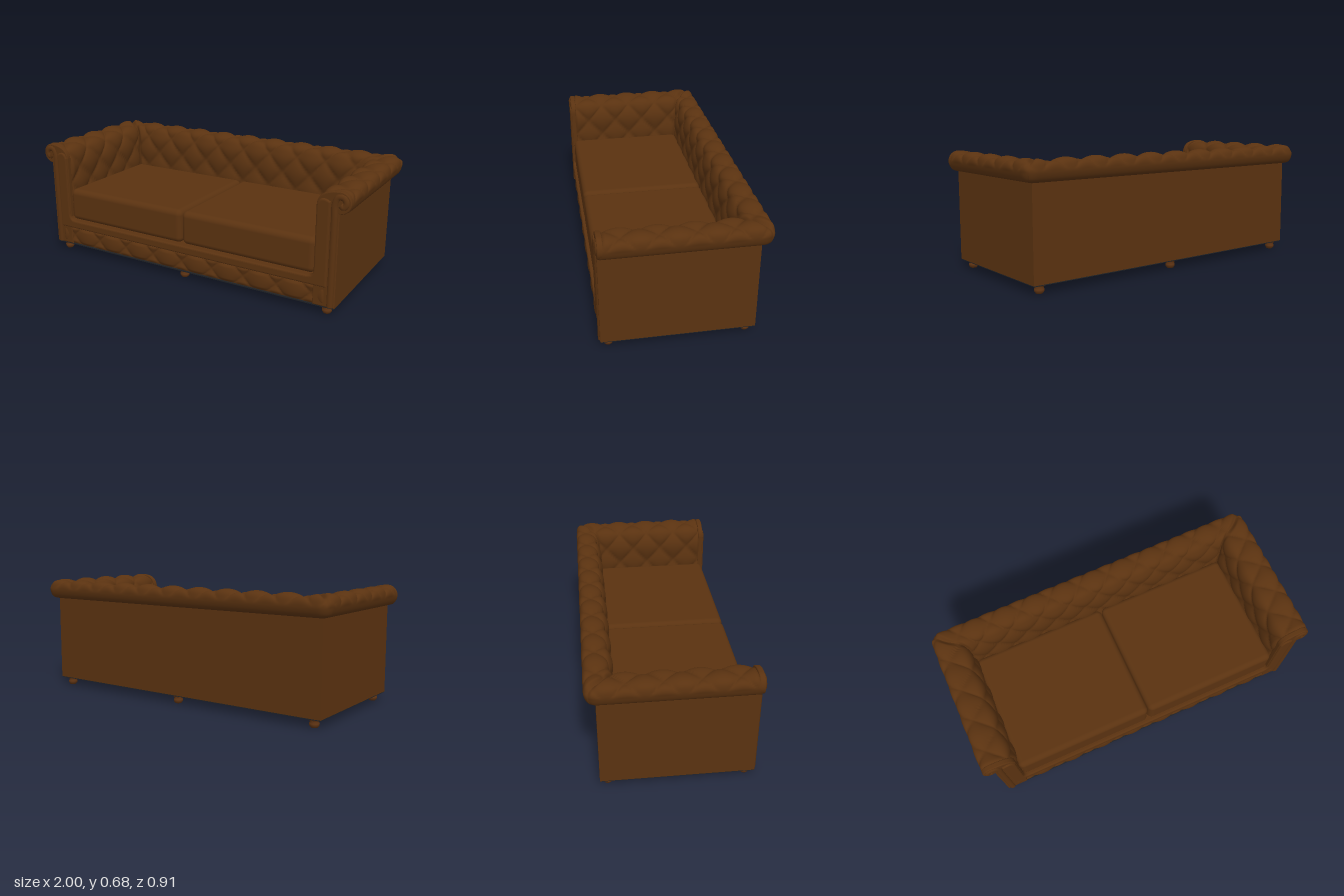
import * as THREE from 'three';
import { RoundedBoxGeometry } from 'three/addons/geometries/RoundedBoxGeometry.js';

const leather = new THREE.MeshStandardMaterial({ color: 0x5a3210 });
leather.name = 'brown leather';
const lining = new THREE.MeshStandardMaterial({ color: 0x202226 });
lining.name = 'dark lining';
const wood = new THREE.MeshStandardMaterial({ color: 0x5f3413 });
wood.name = 'brown wood';

const smooth = THREE.MathUtils.smoothstep;
const ARM = { c: 0.935, D: 0.115 };  // roll centre, distance from roll centre to inner wall
const BACK = { c: 0.382, D: 0.08 };
const FRONT = 0.415;

function add(parent, name, geometry, material = leather) {
  const mesh = new THREE.Mesh(geometry, material);
  mesh.name = name;
  parent.add(mesh);
  return mesh;
}

function box(parent, name, x0, x1, y0, y1, z0, z1, material) {
  const mesh = add(parent, name, new THREE.BoxGeometry(x1 - x0, y1 - y0, z1 - z0), material);
  mesh.position.set((x0 + x1) / 2, (y0 + y1) / 2, (z0 + z1) / 2);
  return mesh;
}

// Grid surface: fn(u, v) gives each point
function surface(nu, nv, fn) {
  const g = new THREE.PlaneGeometry(1, 1, nu, nv);
  const p = g.attributes.position, uv = g.attributes.uv;
  for (let i = 0; i < p.count; i++) p.setXYZ(i, ...fn(uv.getX(i), uv.getY(i)));
  g.computeVertexNormals();
  return g;
}

// Diamond-buttoned padding height, 0 at buttons and 1 at puff centres
function tuft(s, t, a, b) {
  return Math.sqrt(Math.abs(Math.sin(Math.PI * (s / a + t / b)) * Math.sin(Math.PI * (s / a - t / b))));
}

// Inner wall running up and over the scroll: x is offset from roll centre
const ROWS = 80;
function rollProfile(D) {
  const pts = [[-D, 0.2], [-D, 0.29], [-D, 0.38], [-D, 0.47], [-D, 0.56], [-D + 0.01, 0.61],
    [-D * 0.7, 0.643], [-0.02, 0.655], [0.025, 0.654], [0.05, 0.637], [0.057, 0.612],
    [0.04, 0.573], [0, 0.56], [-0.02, 0.562]].map(([x, y]) => new THREE.Vector3(x, y, 0));
  const curve = new THREE.CatmullRomCurve3(pts, false, 'catmullrom', 0.5);
  let t = 0, last = pts[0];
  return curve.getPoints(ROWS).map((p, i) => {
    t += p.distanceTo(last);
    last = p;
    const n = curve.getTangent(i / ROWS);
    return { d: p.x, y: p.y, t, nd: -n.y, ny: n.x };
  });
}
const armProfile = rollProfile(ARM.D), backProfile = rollProfile(BACK.D);

// Padded panel in (s along, o outward), mapped to one side of the sofa
function paddedSide(spec, profile, start, end, phase, columns, place) {
  return surface(columns, ROWS, (u, v) => {
    const i = Math.round(v * ROWS), p = profile[i];
    const s0 = start(i), s1 = end(i), s = s0 + (s1 - s0) * u;
    const t = p.t - (0.42 + spec.D);
    const ends = smooth(s - s0, 0, 0.03) * smooth(s1 - s, 0, 0.03);
    const h = 0.023 * tuft(s - phase, t, 0.185, 0.2) * ends * (1 - smooth(t, 0.035, 0.085));
    const [x, y, z] = place(s, spec.c + p.d + p.nd * h, p.y + p.ny * h);
    // round the outer back corners in plan
    const cx = Math.abs(x) - 0.932, cz = -z - 0.377;
    if (cx <= 0 || cz <= 0) return [x, y, z];
    const k = Math.max(cx, cz) / Math.hypot(cx, cz);
    return [Math.sign(x) * (0.932 + cx * k), y, -(0.377 + cz * k)];
  });
}

function extrude(shape, depth, bevel) {
  return new THREE.ExtrudeGeometry(shape, {
    depth, bevelEnabled: true, bevelSize: bevel, bevelThickness: bevel,
    bevelOffset: -bevel, bevelSegments: 3, curveSegments: 16,
  });
}

export function createModel() {
  const model = new THREE.Group();
  model.name = 'sofa';
  const sofa = new THREE.Group();
  sofa.name = 'tuftedSofa';
  sofa.rotation.y = -0.018;
  model.add(sofa);

  // Frame
  box(sofa, 'base', -0.93, 0.93, 0.052, 0.208, -0.38, FRONT);
  box(sofa, 'underside', -0.933, 0.933, 0.046, 0.053, -0.38, 0.425, lining);
  box(sofa, 'backWall', -0.935, 0.935, 0.051, 0.59, -0.382, -0.32);
  for (const [name, m] of [['left', 1], ['right', -1]]) {
    box(sofa, name + 'ArmWall', m > 0 ? 0.85 : -0.935, m > 0 ? 0.935 : -0.85, 0.051, 0.59, -0.381, 0.425);
  }

  // Buttoned back and arms, mitred where they meet
  const armEdge = i => ARM.c + armProfile[i].d, backEdge = i => BACK.c + backProfile[i].d;
  add(sofa, 'tuftedBack', paddedSide(BACK, backProfile, i => -armEdge(i), armEdge, 0.0925, 220,
    (s, o, y) => [s, y, -o]));
  add(sofa, 'tuftedLeftArm', paddedSide(ARM, armProfile, i => -backEdge(i), () => FRONT, 0.314, 100,
    (s, o, y) => [o, y, s]));
  add(sofa, 'tuftedRightArm', paddedSide(ARM, armProfile, () => -FRONT, backEdge, -0.314, 100,
    (s, o, y) => [-o, y, -s]));

  // Scrolled arm fronts with raised edging
  for (const [name, m] of [['left', 1], ['right', -1]]) {
    const s = new THREE.Shape();
    s.moveTo(m * 0.935, 0.051);
    s.lineTo(m * 0.935, 0.56);
    s.absarc(m * 0.935, 0.619, 0.058, -Math.PI / 2, Math.PI / 2, m < 0);
    s.quadraticCurveTo(m * 0.82, 0.675, m * 0.812, 0.6);
    s.lineTo(m * 0.812, 0.051);
    add(sofa, name + 'ArmFront', extrude(s, 0.018, 0.006)).position.z = 0.404;

    const path = new THREE.CatmullRomCurve3([[0.908, 0.055], [0.908, 0.3], [0.908, 0.54], [0.908, 0.61],
      [0.925, 0.647], [0.953, 0.647], [0.967, 0.621], [0.952, 0.598], [0.938, 0.61]]
      .map(([x, y]) => new THREE.Vector3(m * x, y, 0)));
    const edging = add(sofa, name + 'ScrollEdging', new THREE.TubeGeometry(path, 90, 0.017, 10));
    edging.scale.z = 0.75;
    edging.position.z = 0.424;
  }

  // Border band running down the arms and under the cushions
  const band = new THREE.Shape();
  band.moveTo(-0.888, 0.16);
  band.lineTo(0.888, 0.16);
  band.lineTo(0.888, 0.62);
  band.quadraticCurveTo(0.835, 0.655, 0.815, 0.6);
  band.lineTo(0.815, 0.25);
  band.quadraticCurveTo(0.815, 0.208, 0.775, 0.208);
  band.lineTo(-0.775, 0.208);
  band.quadraticCurveTo(-0.815, 0.208, -0.815, 0.25);
  band.lineTo(-0.815, 0.6);
  band.quadraticCurveTo(-0.835, 0.655, -0.888, 0.62);
  add(sofa, 'frontBand', extrude(band, 0.02, 0.01)).position.z = 0.407;

  // Buttoned front rail
  add(sofa, 'tuftedRail', surface(240, 24, (u, v) => {
    const x = (u - 0.5) * 1.776, y = 0.051 + v * 0.112;
    const edge = smooth(Math.min(v, 1 - v), -0.05, 0.2) * smooth(Math.min(u, 1 - u), 0, 0.012);
    return [x, y, 0.416 + 0.02 * edge * tuft(x, y - 0.107, 0.2, 0.2)];
  }));

  // Seat cushions, slightly crowned
  for (const [name, m] of [['left', 1], ['right', -1]]) {
    const g = new RoundedBoxGeometry(0.81, 0.195, 0.715, 5, 0.032);
    const p = g.attributes.position;
    for (let i = 0; i < p.count; i++) {
      if (p.getY(i) > 0) p.setY(i, p.getY(i) + 0.004 * (1 - Math.abs(p.getX(i)) / 0.405));
    }
    add(sofa, name + 'SeatCushion', g).position.set(m * 0.407, 0.309, 0.064);
  }

  // Turned feet
  const foot = new THREE.LatheGeometry([[0, 0], [0.018, 0], [0.026, 0.011], [0.027, 0.022], [0.02, 0.036],
    [0.029, 0.038], [0.029, 0.05]].map(([x, y]) => new THREE.Vector2(x, y)), 20);
  for (const x of [-0.88, 0, 0.88]) {
    for (const z of [0.383, -0.34]) add(sofa, 'foot', foot, wood).position.set(x, 0, z);
  }
  return model;
}
